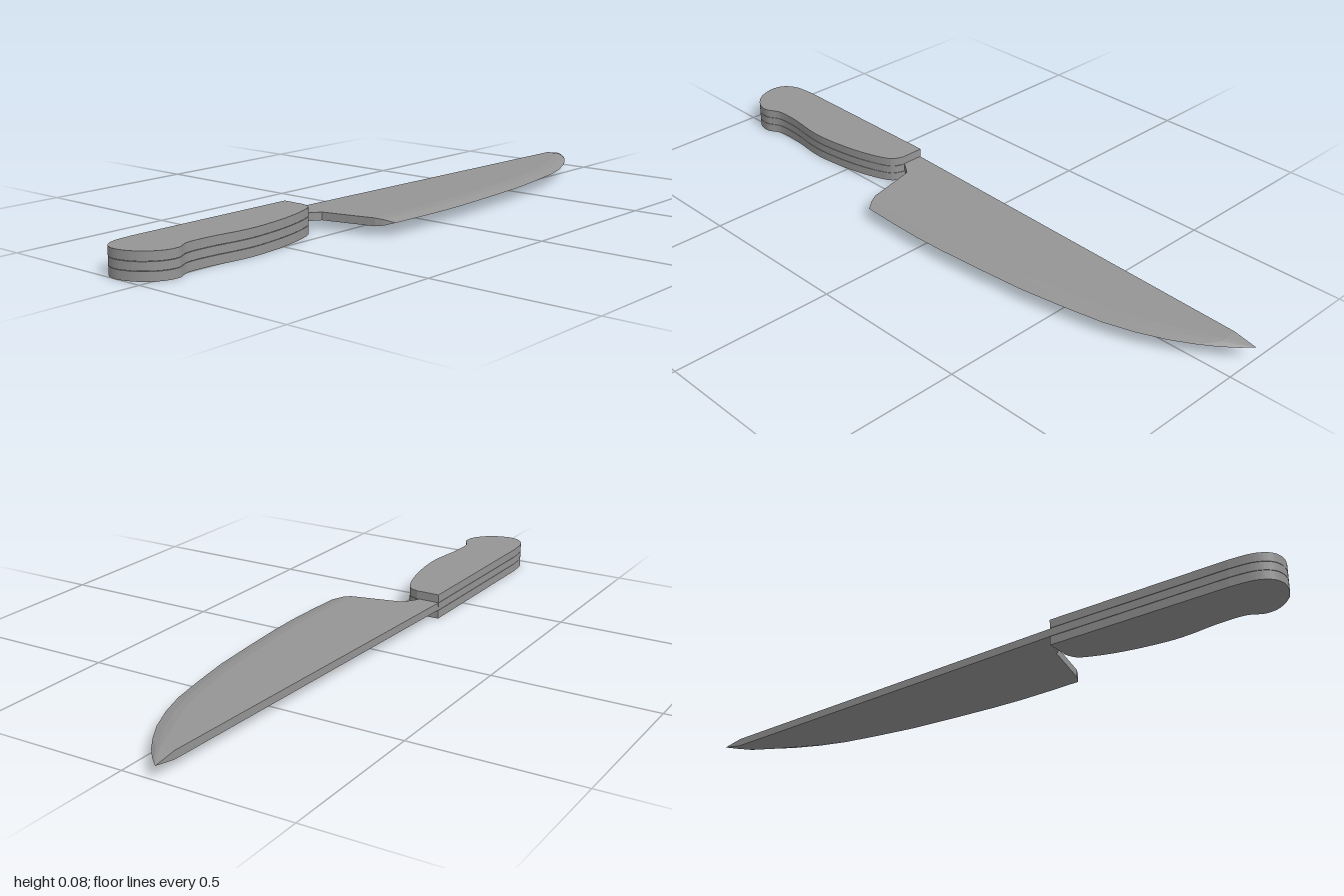
import * as THREE from 'three';
import { toCreasedNormals } from 'three/addons/utils/BufferGeometryUtils.js';

const MID = 0.039;   // height of the blade's centre plane
const HALF = 0.0119; // half thickness of blade and tang
const SEAM = 0.0012; // fine gap between tang and handle scales

// Handle outline seen from above: straight back, curved grip, rounded butt
function handleShape() {
  const s = new THREE.Shape();
  s.moveTo(-0.161, 0.33);
  s.lineTo(-0.085, 0.33);
  s.splineThru([
    [-0.05, 0.35], [-0.022, 0.415], [-0.001, 0.5], [0.012, 0.6], [0.011, 0.67],
    [0, 0.76], [0, 0.84], [0.022, 0.89], [0.014, 0.935],
    [-0.02, 0.975], [-0.06, 0.995], [-0.1, 1], [-0.135, 0.985],
    [-0.158, 0.945], [-0.165, 0.88],
  ].map(([x, z]) => new THREE.Vector2(x, z)));
  s.closePath();
  return s;
}

// One flat layer of the handle between two heights
function handleLayer(y0, y1) {
  const g = new THREE.ExtrudeGeometry(handleShape(), { depth: y1 - y0, bevelEnabled: false, curveSegments: 32 });
  g.rotateX(Math.PI / 2).translate(0, y1, 0);
  return toCreasedNormals(g, 0.1);
}

// Blade lofted along z from cross-sections, the last one following the heel
function bladeGeometry() {
  const edge = [
    [-0.105, -1], [-0.072, -0.97], [-0.037, -0.93], [-0.002, -0.88], [0.033, -0.82],
    [0.068, -0.74], [0.096, -0.65], [0.118, -0.53], [0.138, -0.4], [0.151, -0.24],
    [0.16, -0.1], [0.163, 0], [0.161, 0.1], [0.156, 0.215],
  ];
  const heel = [[-0.16, 0.335], [-0.092, 0.33], [-0.06, 0.284], [0.105, 0.245], [0.128, 0.234], [0.156, 0.215]];
  const spineAt = (z) => -0.105 - 0.055 * (z + 1) / 1.33;

  // Columns run from spine to cutting edge: [x, z, half thickness]
  const sections = edge.map(([e, z], i) => {
    const s = spineAt(z);
    const w = Math.min(0.053, 0.4 * (e - s));
    const b = e - w;
    const h = HALF * Math.min(1, (z + 1) / 0.07);
    const last = i === edge.length - 1;
    const xs = [s, s + (b - s) * 0.26, s + (b - s) * 0.38, b, b + w * 0.45, e];
    const hs = [h, h, h, h, h * 0.72, 0];
    return xs.map((x, j) => (last ? [...heel[j], hs[j]] : [x, z, hs[j]]));
  });

  const pos = [];
  const quad = (a, b, c, d) => pos.push(...a, ...b, ...c, ...a, ...c, ...d);
  const up = ([x, z, h]) => [x, MID + h, z];
  const dn = ([x, z, h]) => [x, MID - h, z];
  for (let i = 0; i < sections.length - 1; i++) {
    const A = sections[i], B = sections[i + 1];
    for (let j = 0; j < 5; j++) {
      quad(up(A[j]), up(B[j]), up(B[j + 1]), up(A[j + 1]));
      quad(dn(A[j]), dn(A[j + 1]), dn(B[j + 1]), dn(B[j]));
    }
    quad(up(A[0]), dn(A[0]), dn(B[0]), up(B[0])); // spine wall
  }
  // heel wall
  const H = sections[sections.length - 1];
  for (let j = 0; j < 5; j++) quad(up(H[j]), dn(H[j]), dn(H[j + 1]), up(H[j + 1]));

  const g = new THREE.BufferGeometry();
  g.setAttribute('position', new THREE.Float32BufferAttribute(pos, 3));
  g.computeVertexNormals();
  return toCreasedNormals(g, 0.12);
}

export function createModel() {
  const model = new THREE.Group();
  model.name = 'kitchenKnife';
  const material = new THREE.MeshStandardMaterial({ color: 0x959595 });
  const add = (name, geometry) => {
    const mesh = new THREE.Mesh(geometry, material);
    mesh.name = name;
    model.add(mesh);
  };
  add('blade', bladeGeometry());
  add('lowerHandleScale', handleLayer(0, MID - HALF - SEAM));
  add('tang', handleLayer(MID - HALF, MID + HALF));
  add('upperHandleScale', handleLayer(MID + HALF + SEAM, 0.078));
  return model;
}
